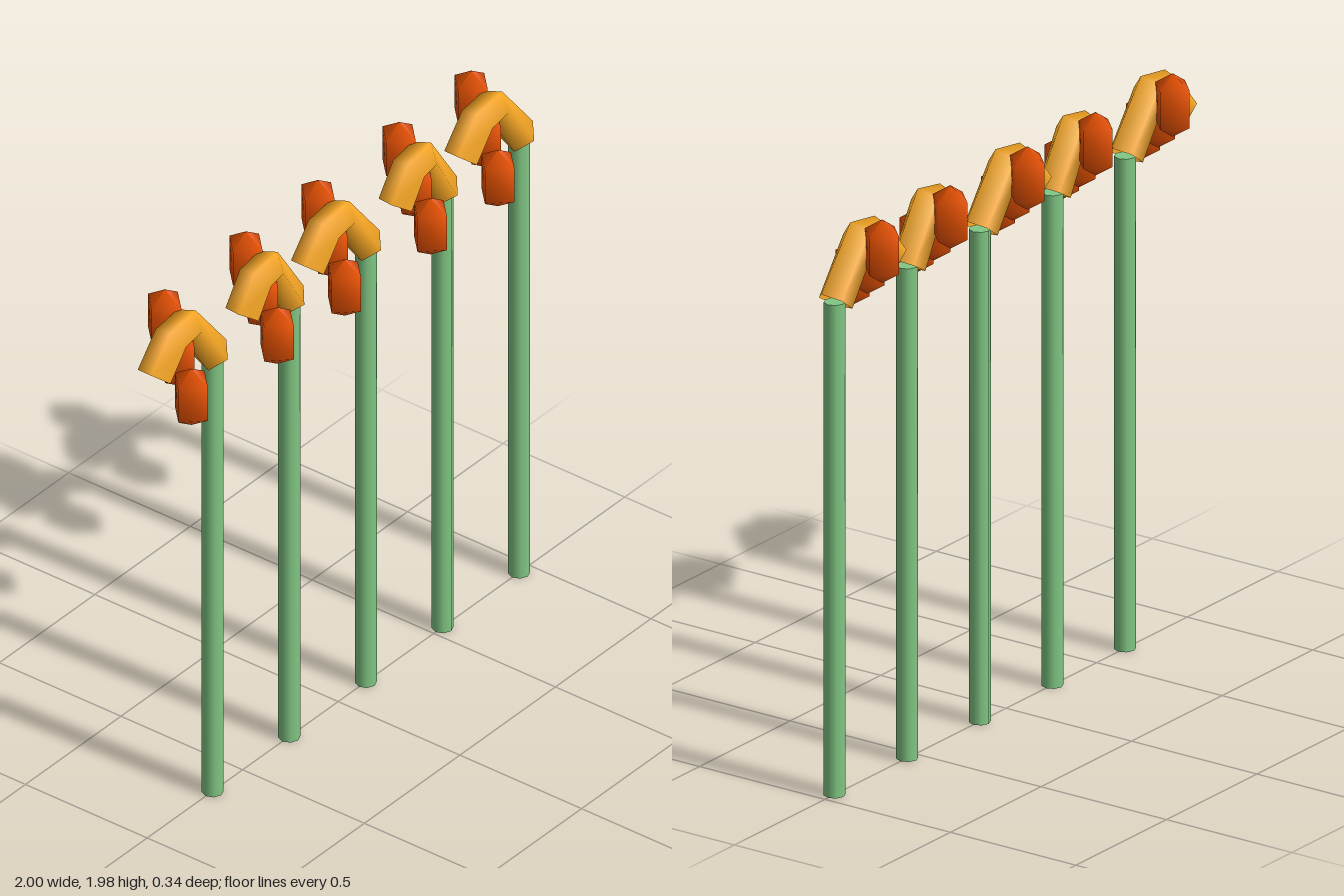
import * as THREE from 'three';

const mat = (color, side = THREE.FrontSide) => new THREE.MeshStandardMaterial({ color, side });

export function createModel() {
  const model = new THREE.Group();
  const green = mat(0x81c784);
  const amber = mat(0xf9a825, THREE.DoubleSide);
  const orange = mat(0xe65100);

  const stemHeight = 1.71;
  const stemGeo = new THREE.CylinderGeometry(0.036, 0.036, stemHeight, 8);

  // four-sided bud with pointed ends
  const budGeo = new THREE.LatheGeometry(
    [[0, -0.11], [0.068, -0.065], [0.068, 0.065], [0, 0.11]].map(p => new THREE.Vector2(...p)), 4);

  // five-sided bent tube; each path point becomes one ring
  const hookGeo = reach => {
    const path = new THREE.CatmullRomCurve3(
      [[0, 1.71], [-0.135, 1.89], [-0.217, 1.875], [-0.3, 1.775]]
        .map(([x, y]) => new THREE.Vector3(x * reach, y, 0)));
    path.getUtoTmapping = u => u;
    return new THREE.TubeGeometry(path, 3, 0.062, 5);
  };

  const add = (group, name, geo, material, x, y, z) => {
    const mesh = new THREE.Mesh(geo, material);
    mesh.name = name;
    mesh.position.set(x, y, z);
    group.add(mesh);
  };

  // row of five flowers, long and short hooks alternating
  for (let i = 0; i < 5; i++) {
    const reach = i % 2 ? 0.8 : 1;
    const flower = new THREE.Group();
    flower.name = 'flower';
    flower.position.x = -0.657 + i * 0.401;
    add(flower, 'stem', stemGeo, green, 0, stemHeight / 2, 0);
    add(flower, 'hookedBloom', hookGeo(reach), amber, 0, 0, 0);
    // three buds climbing from front to back
    for (let k = -1; k <= 1; k++) {
      add(flower, 'bud', budGeo, orange, (-0.181 + k * 0.06) * reach, 1.79 + k * 0.08, -k * 0.102);
    }
    model.add(flower);
  }
  return model;
}
